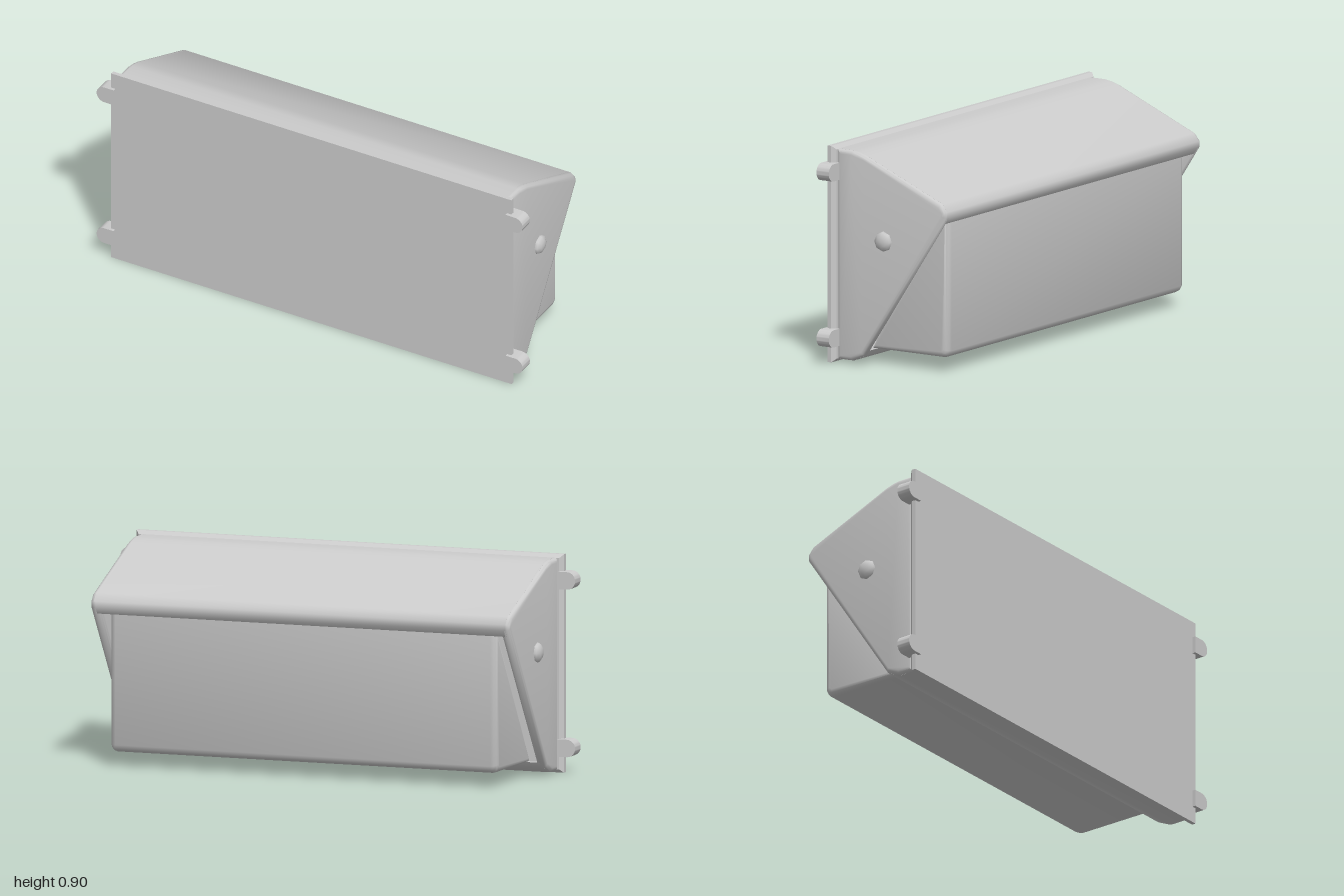
import * as THREE from 'three';
import { toCreasedNormals } from 'three/addons/utils/BufferGeometryUtils.js';

const grey = new THREE.MeshStandardMaterial({ color: 0xcccccc, side: THREE.DoubleSide });

// Extrude a side profile of [z, y] points across x, from x0 to x1, with rounded ends.
function sideExtrude(profile, x0, x1, bevel = 0) {
  const shape = new THREE.Shape(profile.map(([z, y]) => new THREE.Vector2(-z, y)));
  const geo = new THREE.ExtrudeGeometry(shape, {
    depth: x1 - x0 - 2 * bevel,
    bevelEnabled: bevel > 0,
    bevelSize: bevel,
    bevelThickness: bevel,
    bevelOffset: -bevel,
    bevelSegments: 3,
  });
  geo.translate(0, 0, x0 + bevel).rotateY(Math.PI / 2);
  return toCreasedNormals(geo, 0.8);
}

export function createModel() {
  const model = new THREE.Group();
  model.name = 'wallLight';
  const add = (name, geo) => {
    const mesh = new THREE.Mesh(geo, grey);
    mesh.name = name;
    model.add(mesh);
    return mesh;
  };

  // Mounting plate, chamfered on the side toward the housing
  const plate = new THREE.BoxGeometry(1.88, 0.9, 0.035, 1, 1, 2);
  const p = plate.attributes.position;
  for (let i = 0; i < p.count; i++) {
    const z = p.getZ(i);
    if (z < -0.01) {
      p.setX(i, p.getX(i) - Math.sign(p.getX(i)) * 0.015);
      p.setY(i, p.getY(i) - Math.sign(p.getY(i)) * 0.015);
    }
  }
  plate.translate(0, 0.45, 0.2625);
  add('mountingPlate', toCreasedNormals(plate, 0.3));

  // Hood outline, top skin first, then the bottom lip
  const top = [[0.247, 0.886], [0.175, 0.886], [0.145, 0.881], [0.11, 0.87],
    [-0.265, 0.711], [-0.29, 0.68], [-0.29, 0.655]];
  const bottom = [[0.115, 0.04], [0.175, 0.012], [0.247, 0.012]];
  add('hoodTop', sideExtrude([...top, [-0.272, 0.628], [-0.25, 0.685], [0.11, 0.84],
    [0.175, 0.856], [0.247, 0.856]], -0.905, 0.905));
  add('hoodBottom', sideExtrude([...bottom, [0.247, 0.042], [0.18, 0.042],
    [0.102, 0.06]], -0.905, 0.905));

  // Lens box hanging out of the slanted opening
  add('lens', sideExtrude([[0.13, 0.058], [-0.225, 0.058], [-0.245, 0.068], [-0.255, 0.088],
    [-0.255, 0.63], [-0.225, 0.64]], -0.85, 0.85, 0.025));

  for (const side of [-1, 1]) {
    const label = side > 0 ? 'left' : 'right';

    // End wall of the hood with a rounded rim
    const [a, b] = side > 0 ? [0.88, 0.922] : [-0.922, -0.88];
    add(label + 'EndWall', sideExtrude([...top, ...bottom], a, b, 0.018));

    // Domed side knob
    const knob = new THREE.SphereGeometry(0.044, 8, 6);
    knob.rotateZ(Math.PI / 2).scale(0.6, 1, 1);
    add(label + 'Knob', knob).position.set(side * 0.918, 0.527, 0.017);

    // Round-ended hinge lugs
    for (const y of [0.105, 0.795]) {
      const r = 0.036;
      const lug = new THREE.Shape();
      lug.moveTo(0.92, -r);
      lug.lineTo(1 - r, -r);
      lug.absarc(1 - r, 0, r, -Math.PI / 2, Math.PI / 2, false);
      lug.lineTo(0.92, r);
      lug.closePath();
      const geo = new THREE.ExtrudeGeometry(lug, { depth: 0.061, bevelEnabled: false, curveSegments: 10 });
      geo.translate(0, 0, -0.0305);
      if (side < 0) geo.rotateY(Math.PI);
      add(label + (y > 0.5 ? 'Upper' : 'Lower') + 'Lug', toCreasedNormals(geo, 0.6)).position.set(0, y, 0.2635);
    }
  }
  return model;
}
